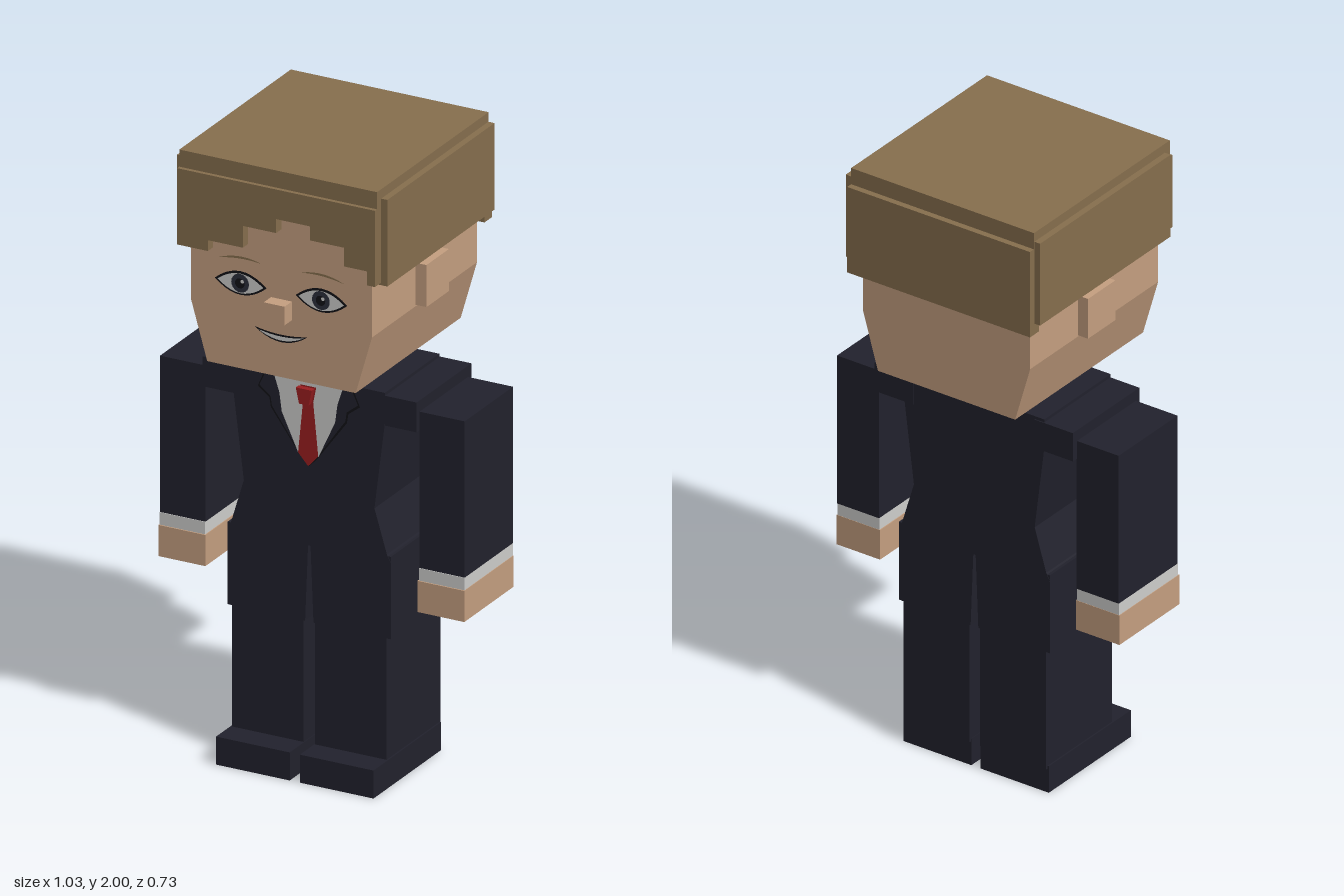
import * as THREE from 'three';

const paint = (name, color) => {
  const m = new THREE.MeshStandardMaterial({ color });
  m.name = name;
  return m;
};

export function createModel() {
  const model = new THREE.Group();
  model.name = 'suitedFigure';

  const skin = paint('skin', 0xc6a081);
  const hair = paint('hair', 0x876f4e);
  const suit = paint('suit', 0x22222d);
  const white = paint('white', 0xcfcfcd);
  const red = paint('tieRed', 0x9c1e20);
  const black = paint('black', 0x111116);
  const iris = paint('iris', 0x2c2f3c);

  const add = (name, geometry, material) => {
    const mesh = new THREE.Mesh(geometry, material);
    mesh.name = name;
    model.add(mesh);
    return mesh;
  };
  // Box given by its limits on each axis
  const box = (name, mat, x0, x1, y0, y1, z0, z1) => {
    const g = new THREE.BoxGeometry(x1 - x0, y1 - y0, z1 - z0);
    g.translate((x0 + x1) / 2, (y0 + y1) / 2, (z0 + z1) / 2);
    return add(name, g, mat);
  };
  const polygon = (pts) => new THREE.Shape(pts.map(([x, y]) => new THREE.Vector2(x, y)));
  const mirror = (pts) => [...pts, ...pts.map(([x, y]) => [-x, y]).reverse()];
  // Front outline pushed through the depth z0..z1
  const slab = (name, mat, pts, z0, z1) => {
    const g = new THREE.ExtrudeGeometry(polygon(pts), { depth: z1 - z0, bevelEnabled: false });
    g.translate(0, 0, z0);
    return add(name, g, mat);
  };
  // Painted detail facing forward
  const plate = (name, mat, shape, z) => {
    const g = new THREE.ShapeGeometry(shape, 10);
    g.translate(0, 0, z);
    return add(name, g, mat);
  };
  // Crescent or almond between two bowed edges
  const lens = (x, y, halfWidth, up, down, tilt = 0) => {
    const s = new THREE.Shape();
    s.moveTo(x - halfWidth, y - tilt);
    s.quadraticCurveTo(x, y + down * 2, x + halfWidth, y + tilt);
    s.quadraticCurveTo(x, y + up * 2, x - halfWidth, y - tilt);
    return s;
  };
  const disc = (x, y, r) => new THREE.Shape().absarc(x, y, r, 0, Math.PI * 2);

  // Head with tapered jaw
  slab('head', skin, mirror([[0.25, 1.33], [0.305, 1.52], [0.305, 1.95]]), -0.325, 0.32);
  box('neck', skin, -0.08, 0.08, 1.25, 1.34, -0.105, 0.075);
  box('nose', skin, -0.035, 0.035, 1.52, 1.58, 0.31, 0.365);

  // Hair: cap, stepped fringe, back and sides
  box('hairTop', hair, -0.333, 0.333, 1.94, 2, -0.345, 0.34);
  box('hairBack', hair, -0.333, 0.333, 1.655, 1.945, -0.365, -0.32);
  slab('fringe', hair, [
    [-0.333, 1.945], [-0.333, 1.7], [-0.23, 1.7], [-0.23, 1.735], [-0.112, 1.735], [-0.112, 1.805],
    [0, 1.805], [0, 1.85], [0.115, 1.85], [0.115, 1.805], [0.228, 1.805], [0.228, 1.745],
    [0.307, 1.745], [0.307, 1.7], [0.333, 1.7], [0.333, 1.945],
  ], 0.315, 0.353);

  // Face
  for (const s of [1, -1]) {
    const side = s > 0 ? 'left' : 'right';
    const x = 0.136 * s;
    plate(side + 'EyeOutline', black, lens(x, 1.605, 0.087, 0.038, -0.038), 0.322);
    plate(side + 'EyeWhite', white, lens(x, 1.605, 0.077, 0.031, -0.032), 0.324);
    plate(side + 'Iris', iris, disc(x, 1.606, 0.03), 0.326);
    plate(side + 'Pupil', black, disc(x, 1.606, 0.016), 0.328);
    plate(side + 'EyeGlint', white, disc(x + 0.009, 1.614, 0.006), 0.33);
    plate(side + 'Brow', hair, lens(x + 0.004 * s, 1.676, 0.074, 0.014, 0.007, -0.004 * s), 0.322);
  }
  plate('mouth', black, lens(0, 1.477, 0.09, -0.01, -0.034), 0.322);
  plate('teeth', white, lens(0, 1.471, 0.077, -0.009, -0.022), 0.324);

  // Jacket with narrowed waist
  slab('torso', suit, mirror([[0.275, 0.725], [0.262, 0.75], [0.22, 0.89], [0.255, 1.17], [0.255, 1.268]]),
    -0.185, 0.15);
  const lapel = [[0, 0.98], [0.025, 1.005], [0.128, 1.145], [0.133, 1.175], [0.172, 1.205], [0.145, 1.266]];
  plate('lapelSeam', black, polygon(mirror(lapel)), 0.1515);
  plate('lapels', suit, polygon(mirror(lapel.map(([x, y]) => [x * 0.965, Math.min(y + 0.005, 1.266)]))), 0.153);
  plate('shirt', white, polygon(mirror([[0, 0.99], [0.035, 1.02], [0.09, 1.14], [0.098, 1.2], [0.12, 1.266]])), 0.1545);
  plate('tie', red, polygon(mirror([[0, 0.982], [0.034, 1.02], [0.017, 1.19], [0.027, 1.24]])), 0.156);
  slab('tieKnot', red, mirror([[0.016, 1.19], [0.027, 1.24]]), 0.165, 0.183);

  // Paired parts
  for (const s of [1, -1]) {
    const side = s > 0 ? 'left' : 'right';
    const pair = (name, mat, x0, x1, ...rest) =>
      box(side + name, mat, Math.min(x0 * s, x1 * s), Math.max(x0 * s, x1 * s), ...rest);
    pair('HairSide', hair, 0.3, 0.354, 1.692, 1.97, -0.343, 0.315);
    pair('Ear', skin, 0.29, 0.342, 1.525, 1.66, -0.085, 0.053);
    pair('Shoulder', suit, 0.22, 0.361, 1.162, 1.258, -0.188, 0.148);
    pair('Sleeve', suit, 0.36, 0.513, 0.72, 1.222, -0.167, 0.13);
    pair('Cuff', white, 0.36, 0.513, 0.678, 0.72, -0.165, 0.132);
    pair('Hand', skin, 0.357, 0.515, 0.58, 0.68, -0.166, 0.136);
    slab(side + 'Thigh', suit,
      [[0.004, 0.73], [0.275, 0.745], [0.275, 0.48], [0.014, 0.48]].map(([x, y]) => [x * s, y]), -0.184, 0.149);
    pair('Shin', suit, 0.019, 0.26, 0.08, 0.49, -0.183, 0.149);
    pair('Shoe', suit, 0.017, 0.265, 0, 0.09, -0.176, 0.238);
  }

  return model;
}
